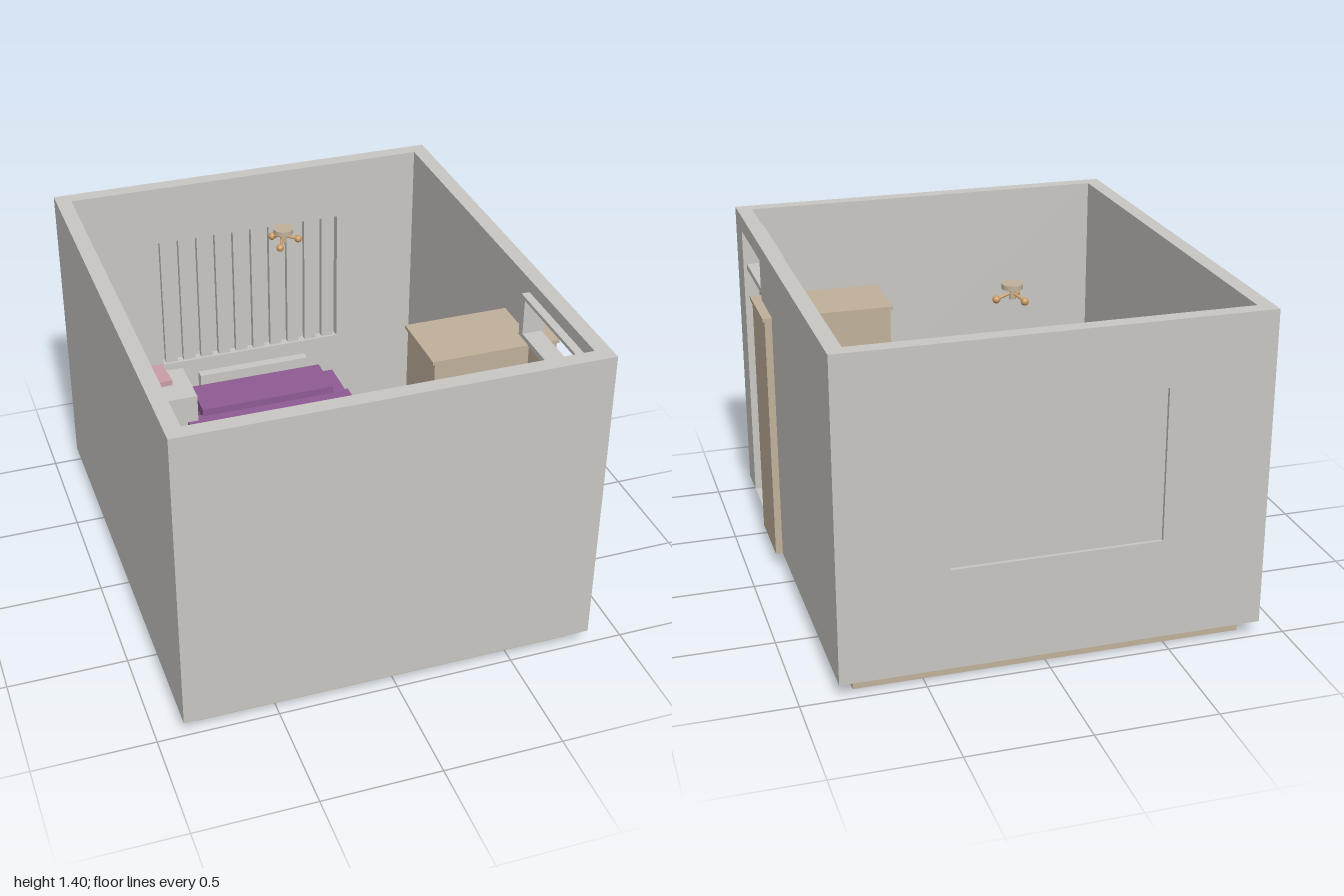
import * as THREE from 'three';

const mat = (name, color) => Object.assign(new THREE.MeshStandardMaterial({ color }), { name });

export function createModel() {
  const room = new THREE.Group();
  room.name = 'bedroom';
  const M = {
    grey: mat('wallGrey', 0xc8c6c2), tan: mat('lightWood', 0xc0b09a),
    purple: mat('beddingPurple', 0x8f5b93), orange: mat('orange', 0xc9995f),
    blue: mat('blue', 0x5f82ad), teal: mat('teal', 0x5a9e9b),
    green: mat('green', 0x7c9d6c), red: mat('red', 0xbf5f58), pink: mat('pink', 0xc99ea5),
  };

  const add = (name, geo, m, parent = room) => {
    const mesh = new THREE.Mesh(geo, m);
    mesh.name = name;
    parent.add(mesh);
    return mesh;
  };
  // Box given by its minimum and maximum on each axis
  const box = (name, m, x0, x1, y0, y1, z0, z1, parent = room) => {
    const b = add(name, new THREE.BoxGeometry(x1 - x0, y1 - y0, z1 - z0), m, parent);
    b.position.set((x0 + x1) / 2, (y0 + y1) / 2, (z0 + z1) / 2);
    return b;
  };
  // Upright panel with one rectangular opening
  const panel = (name, m, [x0, x1, y0, y1], [a0, a1, b0, b1], depth) => {
    const rect = (p, l, r, b, t) => p.moveTo(l, b).lineTo(r, b).lineTo(r, t).lineTo(l, t).closePath();
    const s = rect(new THREE.Shape(), x0, x1, y0, y1);
    s.holes.push(rect(new THREE.Path(), a0, a1, b0, b1));
    return add(name, new THREE.ExtrudeGeometry(s, { depth, bevelEnabled: false }), m);
  };

  // Floor and walls
  const F = 0.065;
  box('floor', M.tan, -0.825, 0.78, 0, F, -0.935, 0.935);
  box('leftWall', M.grey, -0.89, -0.825, F, 1.4, -1, 1);
  box('frontWall', M.grey, -0.825, 0.78, F, 1.4, 0.935, 1);
  const backWall = panel('backWall', M.grey, [-0.825, 0.78, F, 1.4], [-0.455, 0.405, 0.49, 1.13], 0.065);
  backWall.position.z = -1;
  const doorWall = panel('doorWall', M.grey, [-1, 1, F, 1.4], [0.39, 0.845, F + 0.0005, 1.33], 0.065);
  doorWall.rotation.y = -Math.PI / 2;
  doorWall.position.x = 0.845;

  // Window pane with upright slats on the room side
  box('windowPane', M.grey, -0.455, 0.405, 0.49, 1.13, -0.985, -0.978);
  for (let i = 0; i < 10; i++) {
    const x = -0.44 + i * 0.086;
    box('windowSlat', M.grey, x, x + 0.056, 0.49, 1.13, -0.977, -0.948);
  }

  // Door, casing and transom bar
  box('door', M.tan, 0.75, 0.78, F, 1.15, 0.39, 0.845);
  const casing = panel('doorCasing', M.grey, [0.355, 0.87, F, 1.345], [0.39, 0.845, F + 0.0005, 1.33], 0.035);
  casing.rotation.y = -Math.PI / 2;
  casing.position.x = 0.78;
  box('transomBar', M.grey, 0.745, 0.83, 1.15, 1.175, 0.39, 0.845);

  // Wardrobe with a mirror on its side
  box('wardrobeBody', M.tan, 0.34, 0.875, F, 1.14, 0.15, 0.447);
  box('wardrobeTop', M.tan, 0.33, 0.885, 1.14, 1.155, 0.14, 0.45);
  box('wardrobeMirror', M.grey, 0.37, 0.847, 0.39, 0.92, 0.447, 0.452);

  // Patchwork rug
  box('rugBorder', M.grey, -0.53, 0.485, F, 0.07, -0.7, 0.7);
  const colours = { k: M.pink, o: M.orange, b: M.blue, t: M.teal, g: M.green, r: M.red };
  const rows = ['kogbtr.o', 'obrgkt.o', 'otbr.gk.', '.gokbrtk', 'brt.gob.', 'tkgbor.g',
    '.bgrk.tg', 'tob.ggob', 'obktroog', 'orrgbbrb', 'grtbbogg'];
  rows.forEach((row, j) => [...row].forEach((c, i) => {
    if (c === '.') return;
    const x = -0.505 + i * 0.1205, z = -0.67 + j * 0.122;
    box('rugPatch', colours[c], x, x + 0.1205, 0.07, 0.073, z, z + 0.122);
  }));

  // Bed
  box('bedBase', M.grey, -0.34, 0.37, F, 0.19, -0.915, 0.14);
  box('mattress', M.purple, -0.345, 0.378, 0.19, 0.31, -0.915, 0.145);
  box('duvet', M.purple, -0.42, 0.38, 0.14, 0.335, -0.69, 0.158);
  box('pillow', M.purple, -0.34, 0.3, 0.31, 0.37, -0.89, -0.677);
  box('headboard', M.grey, -0.29, 0.24, F, 0.42, -0.933, -0.89);

  // Cabinet beside the bed and the cushion on it
  box('cabinet', M.grey, -0.8, -0.37, F, 0.47, -0.91, -0.65);
  const cushion = box('cushion', M.pink, -0.7, -0.46, 0.47, 0.496, -0.94, -0.77);
  cushion.rotation.y = 0.07;

  // Pair of slippers on the floor
  [[-0.665, -0.615, -0.15], [-0.685, -0.565, 0.25]].forEach(([x, z, turn]) => {
    const slipper = new THREE.Group();
    slipper.name = 'slipper';
    box('sole', M.pink, -0.06, 0.06, 0, 0.012, -0.013, 0.013, slipper);
    box('heel', M.pink, -0.06, -0.03, 0.012, 0.03, -0.016, 0.016, slipper);
    box('strap', M.pink, 0.03, 0.055, 0.012, 0.035, -0.016, 0.016, slipper);
    slipper.position.set(x, F, z);
    slipper.rotation.y = turn;
    room.add(slipper);
  });

  // Two pictures leaning on the front wall
  [[-0.305, -0.06, 0.24, M.tan], [-0.03, 0.305, 0.26, M.orange]].forEach(([x0, x1, h, m]) => {
    const pic = box('leaningPicture', m, x0, x1, 0, h, -0.008, 0.008);
    pic.position.set((x0 + x1) / 2, F + h / 2, 0.865);
    pic.rotation.x = 0.21;
  });

  // Ceiling lamp with three bulbs
  const lamp = new THREE.Group();
  lamp.name = 'ceilingLamp';
  lamp.position.set(-0.022, 0, -0.405);
  room.add(lamp);
  add('lampDisc', new THREE.CylinderGeometry(0.042, 0.042, 0.02, 24), M.tan, lamp).position.y = 1.385;
  add('lampStem', new THREE.CylinderGeometry(0.014, 0.014, 0.045, 12), M.tan, lamp).position.y = 1.355;
  for (let i = 0; i < 3; i++) {
    const a = (i * Math.PI * 2) / 3, end = new THREE.Vector3(Math.cos(a) * 0.066, 1.335, Math.sin(a) * 0.066);
    const path = new THREE.LineCurve3(new THREE.Vector3(0, 1.36, 0), end);
    add('lampArm', new THREE.TubeGeometry(path, 1, 0.006, 8), M.orange, lamp);
    add('lampBulb', new THREE.SphereGeometry(0.016, 16, 12), M.orange, lamp).position.copy(end);
  }
  return room;
}
